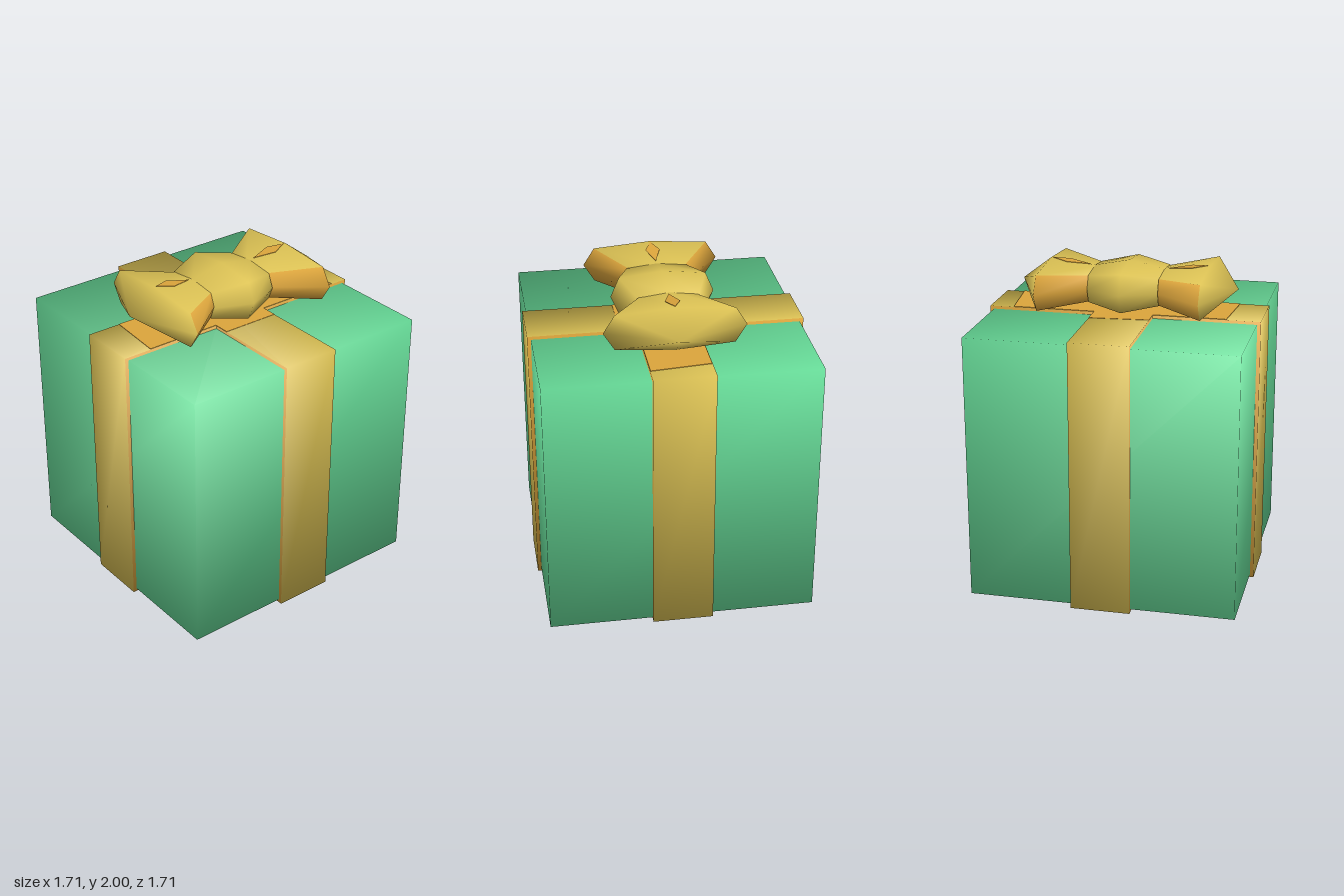
import * as THREE from 'three';
import { mergeVertices } from 'three/addons/utils/BufferGeometryUtils.js';

const mat = (name, color) => new THREE.MeshStandardMaterial({ name, color });

// Box whose normals point out through its corners, for soft shading
function softBox(w, h, d) {
  const geo = new THREE.BoxGeometry(w, h, d);
  const p = geo.attributes.position;
  const s = 1 / Math.sqrt(3);
  for (let i = 0; i < p.count; i++) {
    geo.attributes.normal.setXYZ(i, Math.sign(p.getX(i)) * s, Math.sign(p.getY(i)) * s, Math.sign(p.getZ(i)) * s);
  }
  return geo;
}

// Flattened octagon as [z, y] factors
const RING = [[1, 0], [0.84, 0.8], [0, 1], [-0.84, 0.8], [-1, 0], [-0.84, -0.8], [0, -1], [0.84, -0.8]];

// Loft along x through sections [x, half depth, half height];
// the side faces of span `sideSpan` go to the second material
function loft(sections, sideSpan = -1) {
  const pos = [], main = [], side = [], n = RING.length;
  for (const [x, rz, ry] of sections) {
    for (const [z, y] of RING) pos.push(x, y * ry, z * rz);
  }
  for (let i = 0; i < sections.length - 1; i++) {
    for (let k = 0; k < n; k++) {
      const a = i * n + k, d = i * n + (k + 1) % n, b = a + n, c = d + n;
      const list = i === sideSpan && [0, 3, 4, 7].includes(k) ? side : main;
      if (sections[i + 1][1] > 0) list.push(a, b, c);
      else list.push(a, b, d);
      if (sections[i][1] > 0 && sections[i + 1][1] > 0) list.push(a, c, d);
    }
  }
  let geo = new THREE.BufferGeometry();
  geo.setAttribute('position', new THREE.Float32BufferAttribute(pos, 3));
  geo.setIndex([...main, ...side]);
  geo = mergeVertices(geo);
  geo.clearGroups();
  geo.addGroup(0, main.length, 0);
  geo.addGroup(main.length, side.length, 1);
  geo.computeVertexNormals();
  return geo;
}

// Thin horizontal plate from [x, z] corners, with its underside at y = 0
function plate(points, thickness) {
  const shape = new THREE.Shape(points.map(([x, z]) => new THREE.Vector2(x, -z)));
  const geo = new THREE.ExtrudeGeometry(shape, { depth: thickness, bevelEnabled: false });
  return geo.rotateX(-Math.PI / 2);
}

export function createModel() {
  const model = new THREE.Group();
  model.name = 'giftBox';
  const green = mat('wrapping green', 0x68de9a);
  const gold = mat('ribbon gold', 0xdcc254);
  const amber = mat('ribbon amber', 0xdca53c);

  const add = (parent, name, geo, material, x = 0, y = 0, z = 0) => {
    const mesh = new THREE.Mesh(geo, material);
    mesh.name = name;
    mesh.position.set(x, y, z);
    parent.add(mesh);
    return mesh;
  };

  // Wrapped box
  add(model, 'box', softBox(1.66, 1.665, 1.66), green, 0, 0.853, 0);

  // Two crossing ribbon bands with amber edges
  add(model, 'frontBackRibbon', softBox(0.37, 1.706, 1.706),
    [amber, amber, gold, gold, gold, gold], 0, 0.853, 0);
  add(model, 'sideRibbon', softBox(1.706, 1.702, 0.376),
    [gold, gold, gold, gold, amber, amber], 0, 0.853, 0);

  // Amber patch on the ribbon beneath the bow
  const w = 0.185;
  add(model, 'ribbonPatch', plate([
    [-0.67, w], [-0.64, -w], [-w, -w], [-w, -0.3], [w, -0.33], [w, -w],
    [0.7, -w], [0.74, w], [w, w], [w, 0.29], [-w, 0.29], [-w, w],
  ], 0.003), amber, 0, 1.705, 0);

  // Bow: two flared loops and a centre knot
  const bow = new THREE.Group();
  bow.name = 'bow';
  bow.position.y = 1.85;
  model.add(bow);

  const loopGeo = loft([[0.08, 0.17, 0.08], [0.19, 0.19, 0.1], [0.505, 0.43, 0.138], [0.685, 0, 0]], 1);
  const markGeo = plate([[-0.14, 0], [0, 0.045], [0.1, 0], [0, -0.045]], 0.003).rotateZ(0.12);
  for (const [label, turn] of [['left', 0], ['right', Math.PI]]) {
    const half = new THREE.Group();
    half.name = label + 'Loop';
    half.rotation.y = turn;
    bow.add(half);
    add(half, label + 'LoopBody', loopGeo, [gold, amber]);
    add(half, label + 'LoopMark', markGeo, amber, 0.39, 0.1245, 0);
  }
  add(bow, 'knot', loft([
    [-0.2, 0, 0], [-0.22, 0.225, 0.105], [0, 0.32, 0.15], [0.22, 0.225, 0.105], [0.2, 0, 0],
  ]), [gold, amber]);

  return model;
}
